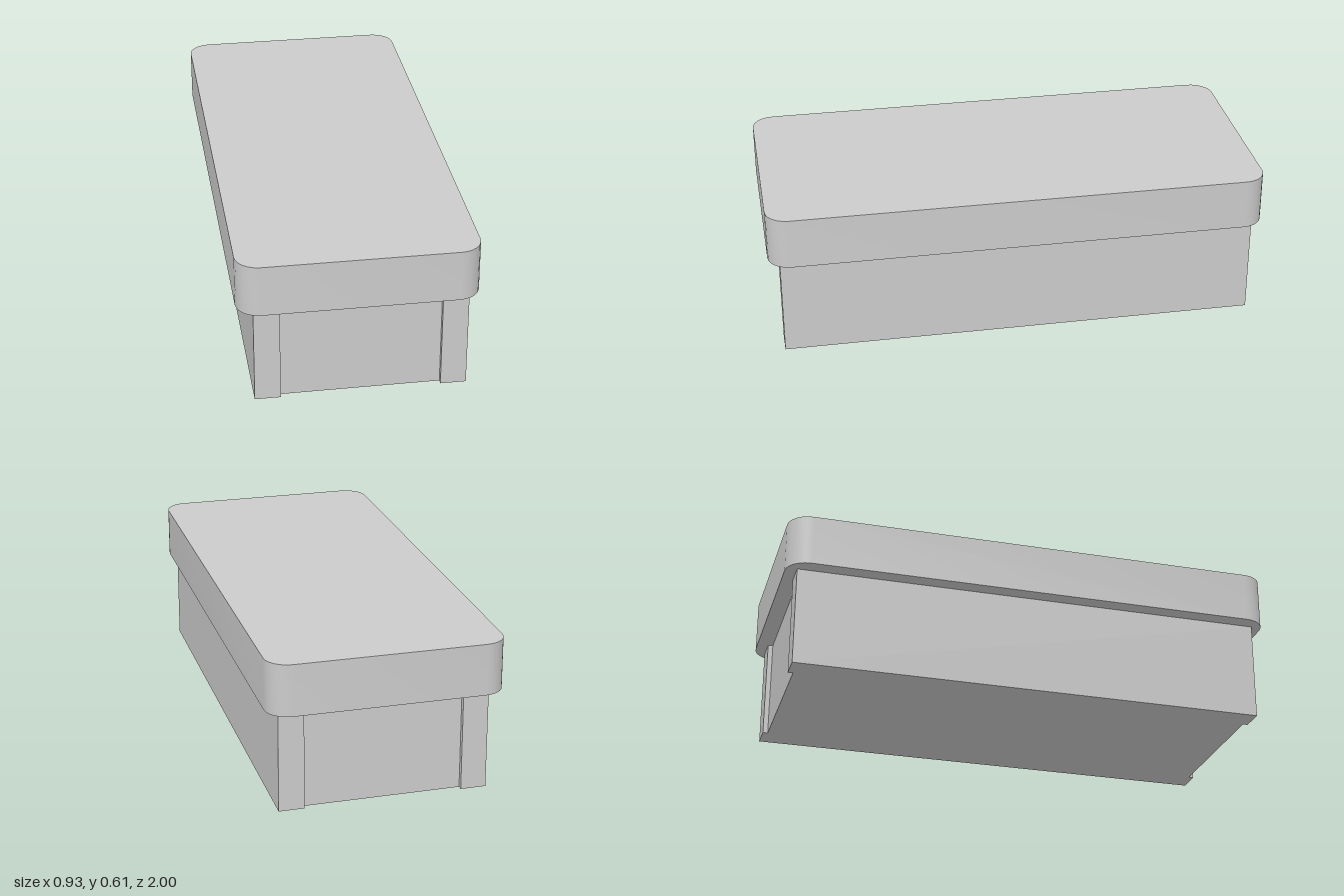
import * as THREE from 'three';
import { toCreasedNormals } from 'three/addons/utils/BufferGeometryUtils.js';

const material = new THREE.MeshStandardMaterial({ color: 0xcccccc });

// Box given by its extents in x, standing on the ground
function panel(name, x0, x1, height, depth) {
  const mesh = new THREE.Mesh(new THREE.BoxGeometry(x1 - x0, height, depth), material);
  mesh.position.set((x0 + x1) / 2, height / 2, 0);
  mesh.name = name;
  return mesh;
}

// Upright slab with rounded vertical corners
function roundedSlab(name, halfX, halfZ, radius, y0, y1) {
  const shape = new THREE.Shape();
  const x = halfX - radius, z = halfZ - radius;
  shape.absarc(x, z, radius, 0, Math.PI / 2);
  shape.absarc(-x, z, radius, Math.PI / 2, Math.PI);
  shape.absarc(-x, -z, radius, Math.PI, Math.PI * 1.5);
  shape.absarc(x, -z, radius, Math.PI * 1.5, Math.PI * 2);
  shape.closePath();
  const geometry = new THREE.ExtrudeGeometry(shape, { depth: y1 - y0, bevelEnabled: false, curveSegments: 3 });
  geometry.rotateX(-Math.PI / 2);
  geometry.translate(0, y0, 0);
  const mesh = new THREE.Mesh(toCreasedNormals(geometry, 0.7), material);
  mesh.name = name;
  return mesh;
}

export function createModel() {
  const model = new THREE.Group();
  model.name = 'box';
  const top = 0.402;

  // Base: two long side panels with a slightly recessed core between them
  model.add(panel('rightSidePanel', -0.4, -0.3, top, 1.91));
  model.add(panel('leftSidePanel', 0.32, 0.42, top, 1.91));
  model.add(panel('core', -0.3, 0.32, top, 1.87));

  // Overhanging slab on top
  model.add(roundedSlab('topSlab', 0.4625, 1, 0.09, top, 0.608));
  return model;
}
